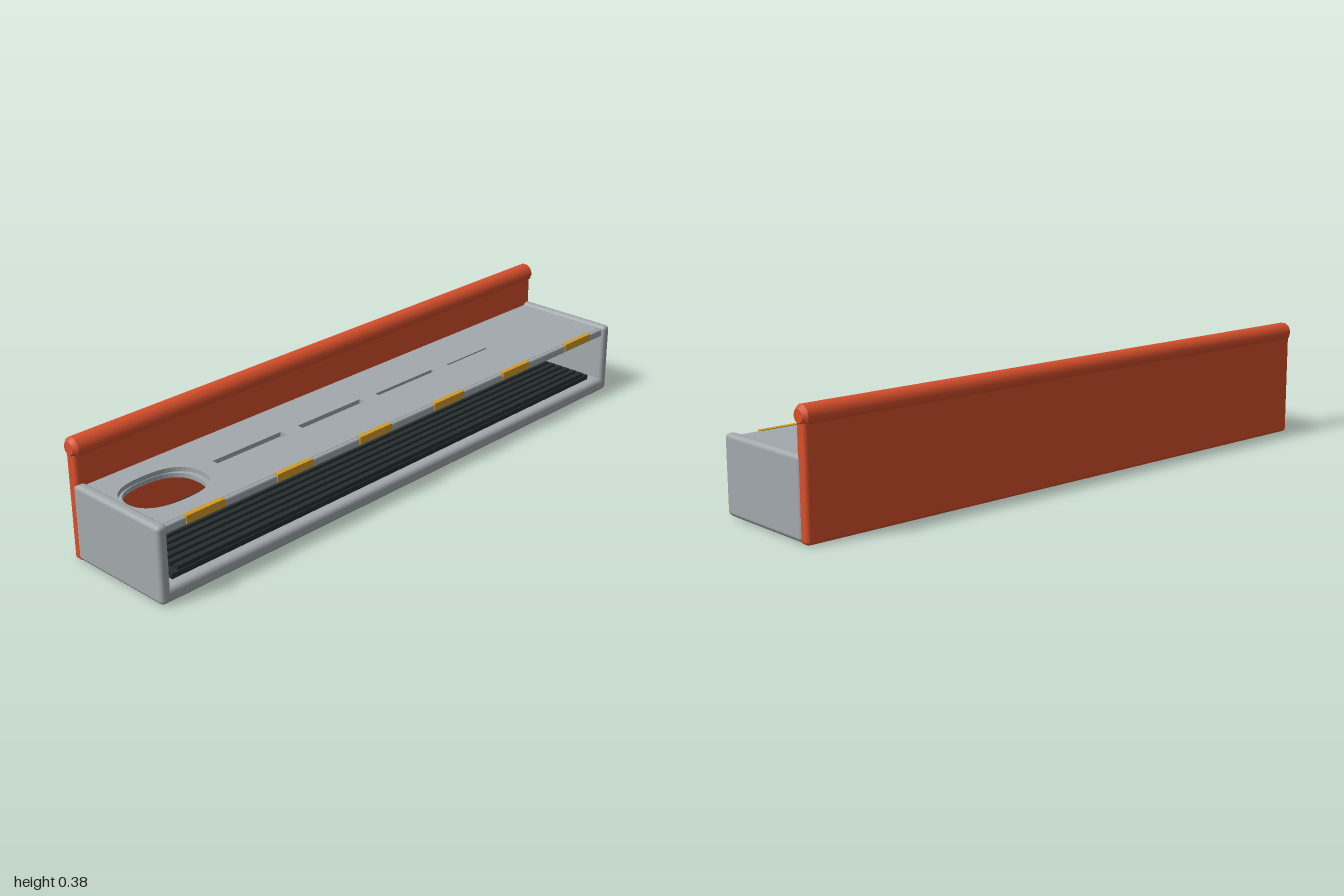
import * as THREE from 'three';
import { RoundedBoxGeometry } from 'three/addons/geometries/RoundedBoxGeometry.js';

function material(name, color) {
  const m = new THREE.MeshStandardMaterial({ color });
  m.name = name;
  return m;
}

export function createModel() {
  const model = new THREE.Group();
  model.name = 'shelfBox';
  const grey = material('grey', 0xa3a9ad);
  const orange = material('orange', 0xd9502c);
  const dark = material('darkRubber', 0x262d2e);
  const amber = material('amber', 0xd39c28);

  function add(name, geometry, mat) {
    const mesh = new THREE.Mesh(geometry, mat);
    mesh.name = name;
    model.add(mesh);
    return mesh;
  }

  // Box given by its limits, with softened edges when r > 0
  function block(name, mat, x0, x1, y0, y1, z0, z1, r = 0) {
    const s = [x1 - x0, y1 - y0, z1 - z0];
    const g = r ? new RoundedBoxGeometry(...s, 2, r) : new THREE.BoxGeometry(...s);
    const mesh = add(name, g, mat);
    mesh.position.set((x0 + x1) / 2, (y0 + y1) / 2, (z0 + z1) / 2);
    return mesh;
  }

  function rectPath(x0, x1, z0, z1, Type) {
    const p = new Type();
    p.moveTo(x0, z0);
    p.lineTo(x1, z0);
    p.lineTo(x1, z1);
    p.lineTo(x0, z1);
    p.closePath();
    return p;
  }

  // Squarish oval opening
  function ovalPath(cx, cz, a, b) {
    const pts = [];
    for (let i = 0; i < 40; i++) {
      const t = (i / 40) * Math.PI * 2, c = Math.cos(t), s = Math.sin(t);
      pts.push(new THREE.Vector2(
        cx + a * Math.sign(c) * Math.abs(c) ** 0.8,
        cz + b * Math.sign(s) * Math.abs(s) ** 0.8));
    }
    return new THREE.Path(pts);
  }

  // Horizontal slab with holes; shape y becomes z, thickness goes down from top
  function slab(name, top, depth, z1, holes) {
    const shape = rectPath(-0.97, 0.97, -0.16, z1, THREE.Shape);
    shape.holes.push(...holes);
    const g = new THREE.ExtrudeGeometry(shape, { depth, bevelEnabled: false });
    g.rotateX(Math.PI / 2);
    add(name, g, grey).position.y = top;
  }

  // Floor and end plates
  block('floor', grey, -0.999, 0.999, 0.003, 0.05, -0.167, 0.199, 0.016);
  block('leftEnd', grey, 0.966, 1, 0.006, 0.243, -0.167, 0.2, 0.013);
  block('rightEnd', grey, -1, -0.966, 0.006, 0.243, -0.167, 0.2, 0.013);

  // Top shelf: upper layer carries the tapering slots, lower layer closes them
  const slots = [
    [-0.63, -0.365, -0.008, 0.02],
    [-0.3, -0.035, -0.003, 0.02],
    [0.03, 0.295, 0.003, 0.018],
    [0.36, 0.56, 0.01, 0.017],
  ].map((s) => rectPath(...s, THREE.Path));
  slab('shelfTop', 0.235, 0.014, 0.178, [ovalPath(-0.827, 0.017, 0.133, 0.094), ...slots]);
  slab('shelfBase', 0.221, 0.014, 0.178, [ovalPath(-0.827, 0.017, 0.118, 0.092)]);
  block('shelfFrontEdge', grey, -0.97, 0.97, 0.207, 0.234, 0.165, 0.189, 0.006);

  // Amber labels along the shelf edge
  for (let i = 0; i < 6; i++) {
    const x = -0.828 + i * 0.331;
    block('label', amber, x - 0.068, x + 0.068, 0.213, 0.237, 0.176, 0.192);
  }

  // Ribbed mat on the floor
  block('matBase', dark, -0.935, 0.935, 0.045, 0.066, -0.13, 0.165);
  for (let i = 0; i < 10; i++) {
    const z = -0.118 + i * 0.03;
    block('matRib', dark, -0.912, 0.912, 0.06, 0.079, z - 0.009, z + 0.009);
  }

  // Back panel with a round rail on top
  block('backPanel', orange, -0.997, 0.997, 0.001, 0.345, -0.19, -0.15, 0.012);
  const r = 0.031;
  const rail = add('topRail', new THREE.CylinderGeometry(r, r, 1.976, 10), orange);
  rail.rotation.z = Math.PI / 2;
  rail.position.set(0, 0.35, -0.169);
  for (const side of [-1, 1]) {
    const cap = add('railCap', new THREE.CylinderGeometry(0.02, r, 0.012, 10), orange);
    cap.rotation.z = -side * Math.PI / 2;
    cap.position.set(side * 0.994, 0.35, -0.169);
  }
  return model;
}
